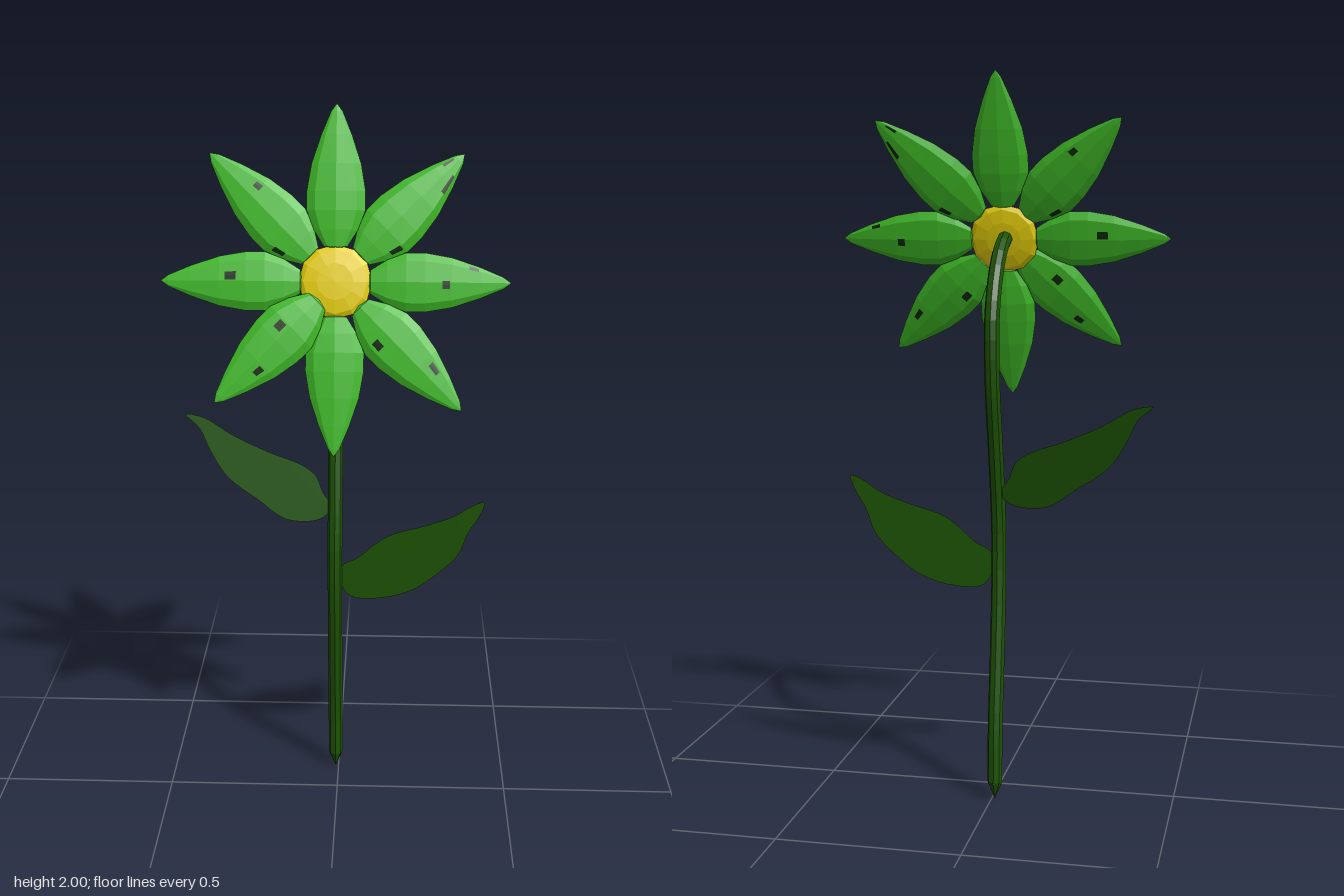
import * as THREE from 'three';

const mat = (name, color, opts = {}) => {
  const m = new THREE.MeshStandardMaterial({ color, flatShading: true, ...opts });
  m.name = name;
  return m;
};

export function createModel() {
  const model = new THREE.Group();
  model.name = 'flower';
  const petalGreen = mat('petal green', 0x3eb726);
  const yellow = mat('centre yellow', 0xe4cd08);
  const darkGreen = mat('stem and leaf green', 0x1d5204, { side: THREE.DoubleSide });
  const fleckGreen = mat('fleck dark green', 0x0c2606, { side: THREE.DoubleSide });

  const add = (name, geometry, material, parent = model) => {
    const mesh = new THREE.Mesh(geometry, material);
    mesh.name = name;
    parent.add(mesh);
    return mesh;
  };

  // Curved stem, given as [y, z], with a pointed foot
  const stemX = -0.009;
  const path = [
    [0.05, -0.116], [0.2, -0.11], [0.4, -0.083], [0.55, -0.066], [0.68, -0.059], [0.8, -0.066],
    [1.0, -0.106], [1.15, -0.141], [1.27, -0.154], [1.36, -0.147], [1.45, -0.108],
    [1.51, -0.058], [1.545, -0.005], [1.56, 0.035],
  ].map(([y, z]) => new THREE.Vector3(stemX, y, z));
  add('stem', new THREE.TubeGeometry(new THREE.CatmullRomCurve3(path), 32, 0.021, 8), darkGreen);
  const foot = add('stemFoot', new THREE.ConeGeometry(0.021, 0.05, 8, 1, true), darkGreen);
  foot.rotation.x = Math.PI;
  foot.position.set(stemX, 0.025, -0.116);

  // Flat leaves with smooth outlines; each leans back by the given slope
  const leaf = (name, outline, z0, slope) => {
    const points = outline.map(([x, y]) => new THREE.Vector3(x, y, 0));
    const edge = new THREE.CatmullRomCurve3(points, true).getPoints(60);
    const shape = new THREE.Shape(edge.map((v) => new THREE.Vector2(v.x, v.y)));
    const geometry = new THREE.ShapeGeometry(shape);
    const p = geometry.attributes.position;
    for (let i = 0; i < p.count; i++) p.setZ(i, z0 - slope * (p.getY(i) - 0.83));
    geometry.computeVertexNormals();
    add(name, geometry, darkGreen);
  };
  leaf('rightLeaf', [
    [-0.02, 0.87], [-0.045, 0.91], [-0.065, 0.955], [-0.105, 0.985], [-0.2, 1.02], [-0.307, 1.068],
    [-0.386, 1.114], [-0.44, 1.123], [-0.4, 1.085], [-0.37, 1.025], [-0.32, 0.95], [-0.23, 0.885],
    [-0.15, 0.832], [-0.063, 0.83], [-0.03, 0.85],
  ], -0.08, 0.24);
  leaf('leftLeaf', [
    [0.005, 0.66], [0.015, 0.7], [0.053, 0.72], [0.14, 0.79], [0.25, 0.825], [0.33, 0.855],
    [0.38, 0.887], [0.416, 0.899], [0.407, 0.865], [0.37, 0.8], [0.345, 0.735], [0.275, 0.665],
    [0.22, 0.625], [0.14, 0.598], [0.04, 0.598], [0.015, 0.625],
  ], -0.063, 0);

  // Flower head, tipped slightly upwards
  const head = new THREE.Group();
  head.name = 'flowerHead';
  head.position.set(-0.004, 1.557, 0.043);
  head.rotation.x = -0.273;
  model.add(head);

  const disc = new THREE.SphereGeometry(1, 12, 6);
  disc.rotateX(Math.PI / 2).scale(0.097, 0.097, 0.017);
  add('centre', disc, yellow, head);

  // Petal profile as [radius, distance from centre]
  const profile = [
    [0, 0.085], [0.031, 0.092], [0.058, 0.135], [0.077, 0.185], [0.077, 0.235],
    [0.065, 0.305], [0.04, 0.38], [0.015, 0.44], [0, 0.46],
  ];
  const radiusAt = (y) => {
    const i = profile.findIndex((p) => p[1] >= y);
    const [[r0, y0], [r1, y1]] = [profile[i - 1], profile[i]];
    return r0 + ((r1 - r0) * (y - y0)) / (y1 - y0);
  };
  const points = profile.map(([r, y]) => new THREE.Vector2(r, y));
  const petal = new THREE.LatheGeometry(points, 8).scale(1, 1, 0.24);

  // Small dark flecks on a petal: [distance, length, angle round the petal]
  const flecks = [
    [], // top
    [[0.14, 0.03, -0.9], [0.3, 0.02, 0.5]],
    [[0.26, 0.03, 0.2]],
    [[0.19, 0.025, 0.3], [0.31, 0.025, -0.4]],
    [],
    [[0.18, 0.025, 0.5], [0.32, 0.03, -0.5]],
    [[0.28, 0.02, 0.1], [0.35, 0.025, -0.9]],
    [[0.15, 0.03, 0.9], [0.35, 0.05, 0.7], [0.4, 0.03, -0.6]],
  ];

  // Eight pointed, flattened petals; the diagonal ones bend away from the disc plane
  for (let i = 0; i < 8; i++) {
    const angle = (i * Math.PI) / 4;
    const group = new THREE.Group();
    group.name = 'petal';
    head.add(group);
    const bend = i % 2 ? -0.045 * Math.sign(Math.cos(angle)) : 0;
    group.rotation.set(bend, 0, angle, 'ZXY');
    if (i % 2) group.scale.y = 1.03;
    // the lower right petal overlaps the centre
    if (i === 3) group.position.set(0.02, 0.015, 0.008);
    add('petalBody', petal, petalGreen, group);
    for (const [y, length, turn] of flecks[i]) {
      const strip = [y, y + length].map((v) => new THREE.Vector2(radiusAt(v), v));
      for (const side of [turn, Math.PI - turn]) {
        const geometry = new THREE.LatheGeometry(strip, 2, side - 0.15, 0.3).scale(1, 1, 0.26);
        add('petalFleck', geometry, fleckGreen, group);
      }
    }
  }
  return model;
}
